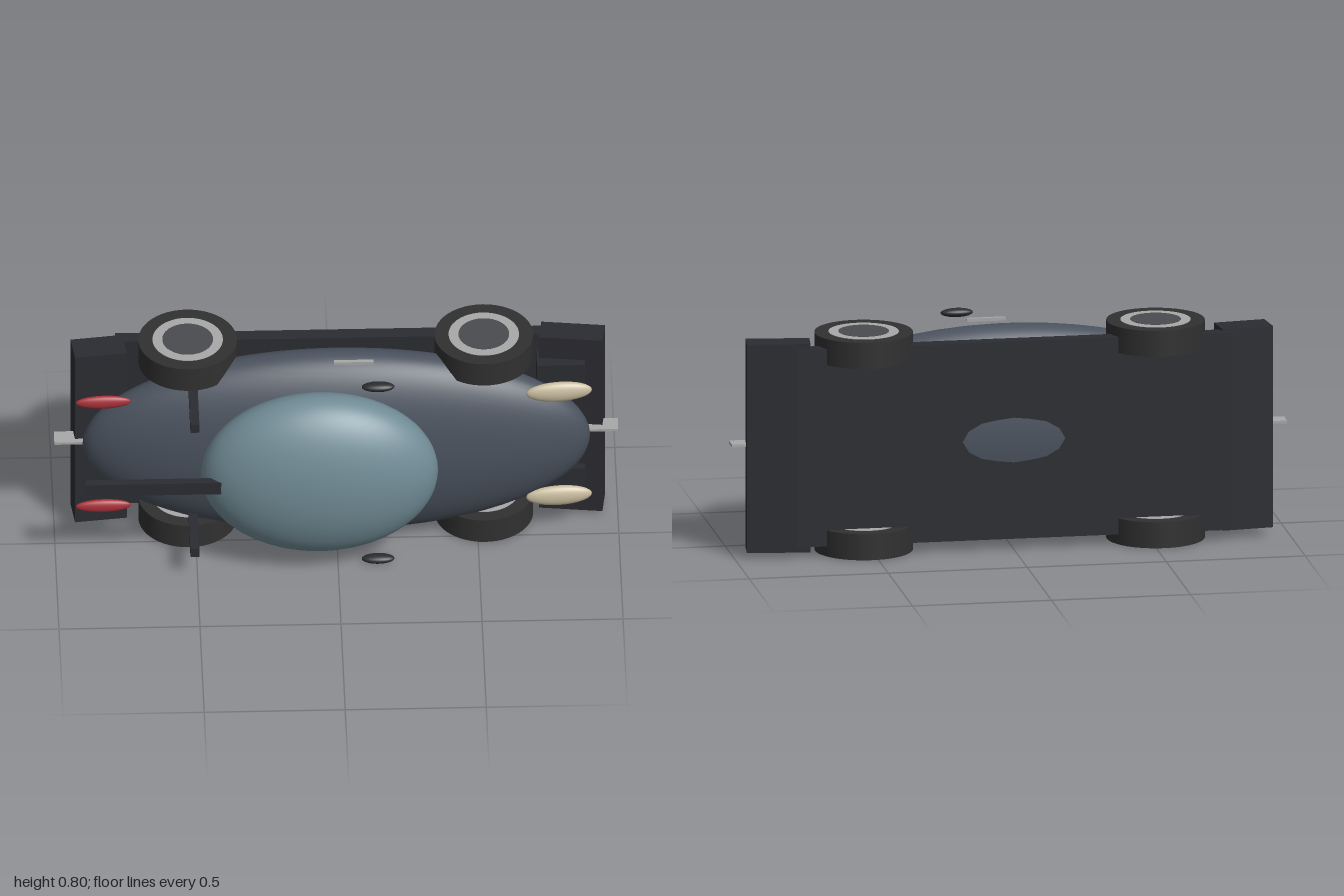
import * as THREE from 'three';

const MID = 0.402; // height of the car's centre line (the car lies with its roof toward +z)

export function createModel() {
  const car = new THREE.Group();
  car.name = 'car';
  const mat = (color) => new THREE.MeshStandardMaterial({ color });
  const paint = mat(0x4a525e), glass = mat(0x718c96), dark = mat(0x2b2c31), rubber = mat(0x303030);
  const metal = mat(0xa8a8a8), hubGrey = mat(0x4a4b50), cream = mat(0xc9bda0), red = mat(0xa8323a);

  const add = (name, geo, material, x, y, z, tilt = 0) => {
    const m = new THREE.Mesh(geo, material);
    m.name = name;
    m.position.set(x, y, z);
    m.rotation.y = tilt;
    car.add(m);
    return m;
  };
  const box = (name, material, size, pos, tilt) =>
    add(name, new THREE.BoxGeometry(...size), material, ...pos, tilt);
  const ellipsoid = (name, material, radii, pos, tilt) =>
    add(name, new THREE.SphereGeometry(1, 48, 32).scale(...radii), material, ...pos, tilt);

  // Shell, canopy and floor
  ellipsoid('body', paint, [0.9, 0.385, 0.171], [0, MID, -0.06]);
  ellipsoid('canopy', glass, [0.42, 0.328, 0.178], [-0.065, MID, 0.13]);
  box('floorPlate', dark, [1.56, 0.72, 0.051], [0, MID, -0.2015]);

  // Tilted bumpers with number plates
  box('frontBumper', dark, [0.226, 0.76, 0.092], [0.838, MID, -0.165], -0.12);
  box('rearBumper', dark, [0.186, 0.734, 0.108], [-0.84, MID, -0.143], 0.12);
  box('frontPlate', metal, [0.12, 0.01, 0.065], [0.94, MID, -0.113]);
  box('rearPlate', metal, [0.12, 0.01, 0.065], [-0.94, MID, -0.092]);

  // Spoiler blade
  box('spoilerBlade', dark, [0.485, 0.05, 0.03], [-0.653, MID + 0.005, 0.211]);

  for (const side of [-1, 1]) {
    const at = (offset) => MID + side * offset;

    // Wheels with rim and hub
    for (const x of [-0.525, 0.525]) {
      const parts = [['tyre', 0.175, 0.095, rubber], ['rim', 0.125, 0.098, metal], ['hub', 0.09, 0.1, hubGrey]];
      for (const [name, r, width, material] of parts)
        add(name, new THREE.CylinderGeometry(r, r, width, 48), material, x, at(0.349), -0.135);
    }

    // Lamps and the blocks under the headlights
    ellipsoid('headlight', cream, [0.117, 0.04, 0.024], [0.788, at(0.231), -0.009], 0.08);
    ellipsoid('tailLight', red, [0.098, 0.026, 0.017], [-0.828, at(0.231), 0.005], 0.03);
    box('headlightBlock', dark, [0.17, 0.116, 0.1], [0.797, at(0.231), -0.135]);

    // Spoiler struts, mirrors and door handles
    box('spoilerStrut', dark, [0.032, 0.035, 0.23], [-0.51, at(0.277), 0.115]);
    ellipsoid('mirror', dark, [0.058, 0.016, 0.024], [0.142, at(0.383), 0.142]);
    box('doorHandle', metal, [0.14, 0.012, 0.014], [0.06, at(0.388), 0.004]);
  }
  return car;
}
